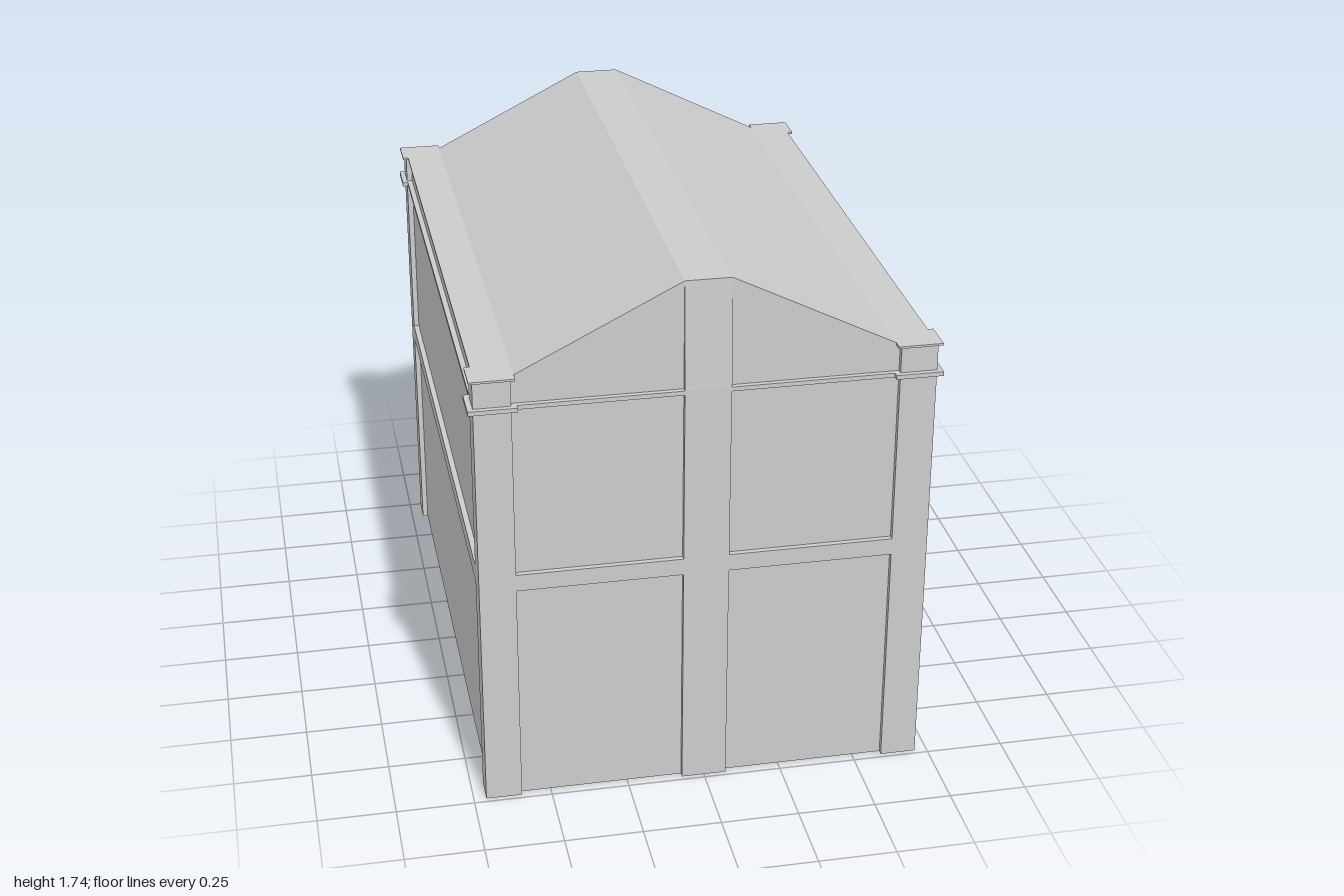
import * as THREE from 'three';

const X = 0.71, Z = 0.984;        // outer faces of the corner posts
const XP = 0.595, ZP = 0.9;       // inner edges of the corner posts
const PW = 0.072;                 // half width of the gable pilaster
const R = 0.018;                  // panel recess
const EAVE = 1.484, RIDGE = 1.742, CAP = 0.012;
const EX = XP - CAP, GZ = Z - R;  // roof edge and gable face

// The pilaster leans back into the gable above the cornice
const pilasterZ = (y) => (y <= 1.391 ? Z : Z - R * (y - 1.391) / (RIDGE - 1.391));

const material = new THREE.MeshStandardMaterial({ color: 0xcccccc, side: THREE.DoubleSide, flatShading: true });

function add(group, name, geometry) {
  const mesh = new THREE.Mesh(geometry, material);
  mesh.name = name;
  group.add(mesh);
  return mesh;
}

// Plan outline at height y: r = panel recess, o = overhang, g = overhang on the gable panels
function ring([y, r, o = 0, g = o]) {
  const q = [
    [X - r + o, ZP - o], [X + o, ZP - o], [X + o, Z + o], [XP - o, Z + o],
    [XP - o, Z - r + g], [PW, Z - r + g], [PW, pilasterZ(y)],
  ];
  const quarter = (sx, sz) => q.map(([x, z]) => [x * sx, y, z * sz]);
  return [
    ...quarter(1, 1), ...quarter(-1, 1).reverse(),
    ...quarter(-1, -1), ...quarter(1, -1).reverse(),
  ];
}

// Flat-sided geometry from triangles or quads
function facets(polygons) {
  const pos = [];
  for (const p of polygons) {
    for (let i = 1; i < p.length - 1; i++) pos.push(...p[0], ...p[i], ...p[i + 1]);
  }
  const geometry = new THREE.BufferGeometry();
  geometry.setAttribute('position', new THREE.Float32BufferAttribute(pos, 3));
  geometry.computeVertexNormals();
  return geometry;
}

// Shell joining plan outlines from bottom to top
function loft(levels) {
  const rings = levels.map(ring), quads = [];
  for (let k = 0; k < rings.length - 1; k++) {
    const a = rings[k], b = rings[k + 1];
    for (let i = 0; i < a.length; i++) {
      const j = (i + 1) % a.length;
      quads.push([a[i], b[i], b[j], a[j]]);
    }
  }
  return facets(quads);
}

export function createModel() {
  const model = new THREE.Group();
  model.name = 'building';

  // Walls with recessed panels, posts and pilasters, open underneath
  add(model, 'lowerWalls', loft([[0, R], [0.757, R]]));
  add(model, 'middleBand', loft([[0.757, R], [0.757, 0], [0.813, 0], [0.813, R]]));
  add(model, 'upperWalls', loft([[0.813, R], [1.377, R]]));
  add(model, 'cornice', loft([[1.377, R], [1.377, R, 0.017], [1.391, R, 0.017], [1.391, R]]));
  add(model, 'parapet', loft([[1.391, R], [1.477, R]]));
  add(model, 'eaveTrim', loft([[1.477, R], [1.477, R, CAP, 0], [EAVE, R, CAP, 0]]));

  // Roof: two slopes and a flat ridge
  const profile = [[EX, EAVE], [PW, RIDGE], [-PW, RIDGE], [-EX, EAVE]];
  add(model, 'roof', facets([0, 1, 2].map((i) => {
    const [a, b] = [profile[i], profile[i + 1]];
    return [[...a, GZ], [...a, -GZ], [...b, -GZ], [...b, GZ]];
  })));

  // Flat decks over the side walls and corner posts
  const xs = X - R + CAP, xo = X + CAP, zi = ZP - CAP, zo = Z + CAP;
  const deckShape = new THREE.Shape([
    [EX, -zo], [xo, -zo], [xo, -zi], [xs, -zi],
    [xs, zi], [xo, zi], [xo, zo], [EX, zo],
  ].map(([x, y]) => new THREE.Vector2(x, y)));
  const deck = new THREE.ShapeGeometry(deckShape).rotateX(-Math.PI / 2).translate(0, EAVE, 0);

  // Gable: panels beside the tapering top of the pilaster
  const foot = pilasterZ(EAVE);
  const faces = [[[-PW, EAVE, foot], [PW, EAVE, foot], [PW, RIDGE, GZ], [-PW, RIDGE, GZ]]];
  for (const s of [1, -1]) {
    const panel = [[s * PW, EAVE, GZ], [s * EX, EAVE, GZ], [s * PW, RIDGE, GZ]];
    const cheek = [[s * PW, EAVE, foot], [s * PW, EAVE, GZ], [s * PW, RIDGE, GZ]];
    faces.push(s > 0 ? panel : panel.reverse(), s > 0 ? cheek : cheek.reverse());
  }
  const gable = facets(faces);

  add(model, 'leftEaveDeck', deck);
  add(model, 'rightEaveDeck', deck).rotation.y = Math.PI;
  add(model, 'frontGable', gable);
  add(model, 'backGable', gable).rotation.y = Math.PI;

  return model;
}
